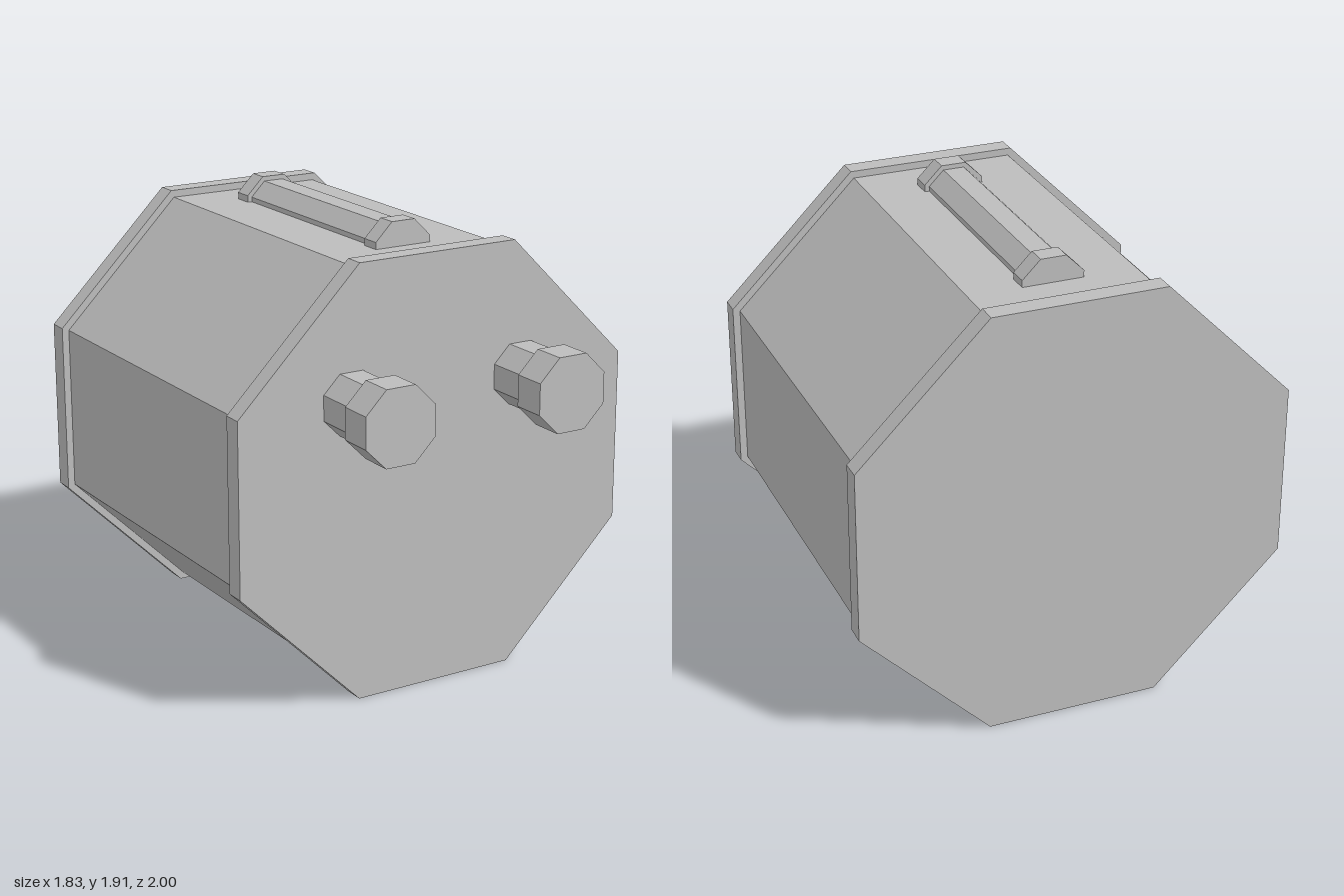
import * as THREE from 'three';

export function createModel() {
  const group = new THREE.Group();
  const grey = new THREE.MeshStandardMaterial({ color: 0xbcbcbc, flatShading: true });
  grey.name = 'plain grey';

  // Eight-sided prism along z: r is half the width, ratio sets the flat's half length
  function prism(name, x, y, r, z0, z1, ratio = 0.401) {
    const c = r * ratio;
    const corners = [[c, r], [r, c], [r, -c], [c, -r], [-c, -r], [-r, -c], [-r, c], [-c, r]];
    const shape = new THREE.Shape(corners.reverse().map(([px, py]) => new THREE.Vector2(px, py)));
    const geometry = new THREE.ExtrudeGeometry(shape, { depth: z1 - z0, bevelEnabled: false });
    const mesh = new THREE.Mesh(geometry, grey);
    mesh.name = name;
    mesh.position.set(x, y, z0);
    group.add(mesh);
  }

  // Drum with a wider rim plate at each end
  prism('drum', 0, 0.916, 0.885, -0.915, 0.56);
  prism('frontPlate', 0, 0.916, 0.916, 0.56, 0.645);
  prism('backPlate', 0, 0.916, 0.916, -1, -0.913);

  // Pair of stepped knobs on the front
  for (const [side, x] of [['left', 0.405], ['right', -0.405]]) {
    prism(side + 'KnobStem', x, 1.272, 0.127, 0.64, 0.855, 0.415);
    prism(side + 'KnobHead', x, 1.272, 0.158, 0.853, 1, 0.415);
  }

  // Bar on top, half sunk into the drum, with thicker ends
  prism('topBar', 0, 1.776, 0.11, -0.655, 0.31, 0.415);
  prism('topBarFrontEnd', 0, 1.776, 0.13, 0.303, 0.388, 0.415);
  prism('topBarBackEnd', 0, 1.776, 0.13, -0.735, -0.65, 0.415);

  return group;
}
